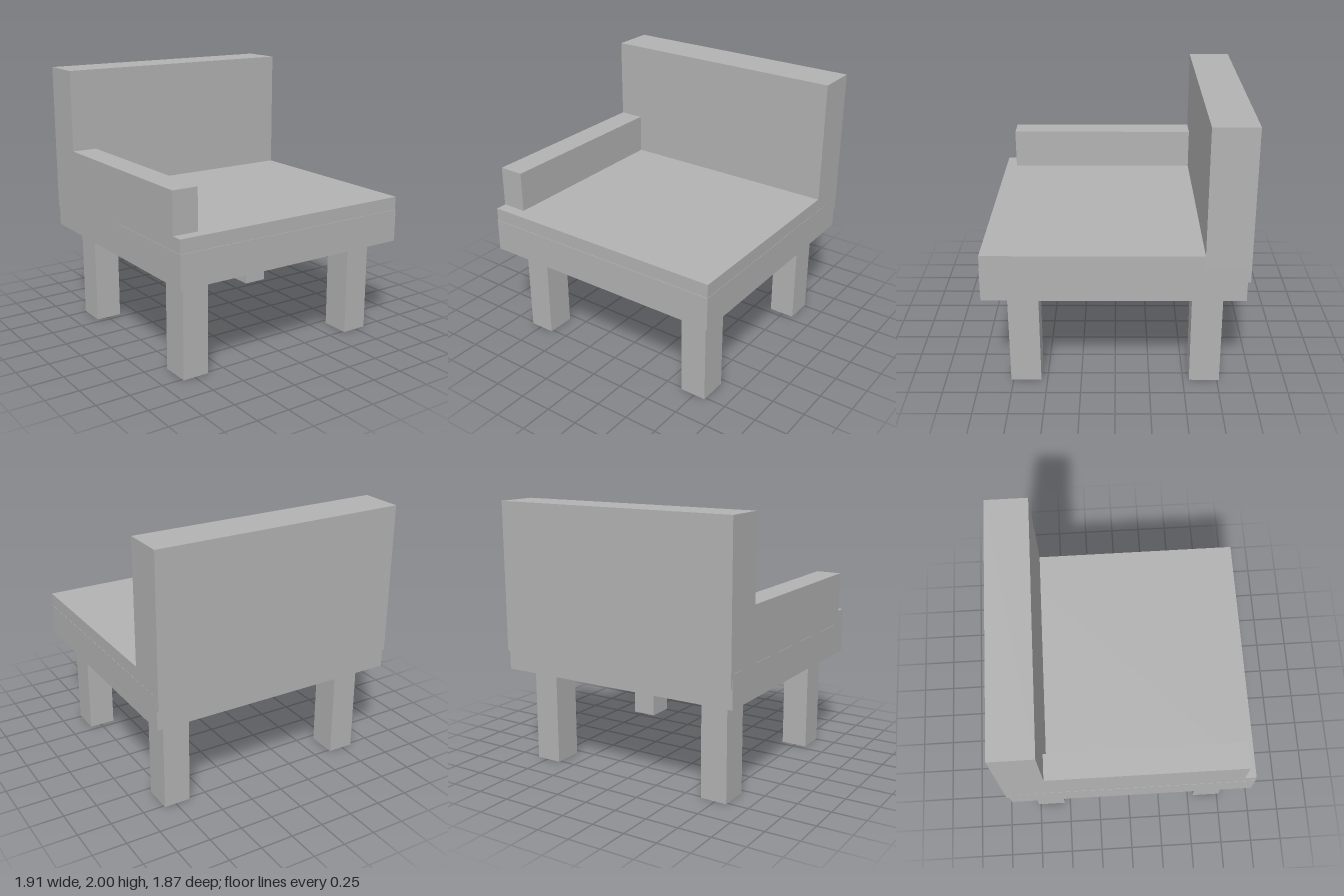
import * as THREE from 'three';

const upholstery = new THREE.MeshStandardMaterial({ color: 0xb2b2b2 });
upholstery.name = 'plain grey';

// Box given by its lower and upper bounds on each axis
function block(name, [x0, x1], [y0, y1], [z0, z1]) {
  const mesh = new THREE.Mesh(new THREE.BoxGeometry(x1 - x0, y1 - y0, z1 - z0), upholstery);
  mesh.position.set((x0 + x1) / 2, (y0 + y1) / 2, (z0 + z1) / 2);
  mesh.name = name;
  return mesh;
}

export function createModel() {
  const seat = new THREE.Group();
  seat.name = 'oneArmedSeat';

  // Base frame with a cushion set in very slightly from its edges
  seat.add(block('seatFrame', [-0.957, 0.955], [0.735, 0.98], [-0.914, 0.935]));
  seat.add(block('seatCushion', [-0.955, 0.953], [0.9, 1.08], [-0.9, 0.931]));

  // Backrest overhangs the frame at the rear
  seat.add(block('backrest', [-0.956, 0.954], [0.88, 2], [-0.935, -0.617]));

  // Single armrest on the model's right
  seat.add(block('armrest', [-0.956, -0.763], [1.0, 1.385], [-0.65, 0.845]));

  // Four square legs
  for (const sx of [-1, 1]) {
    for (const sz of [-1, 1]) {
      const leg = block(
        (sz > 0 ? 'front' : 'back') + (sx > 0 ? 'Left' : 'Right') + 'Leg',
        [-0.101, 0.101], [0, 0.74], [-0.111, 0.111]);
      leg.position.x = sx * 0.737;
      leg.position.z = sz * 0.656;
      seat.add(leg);
    }
  }
  return seat;
}
